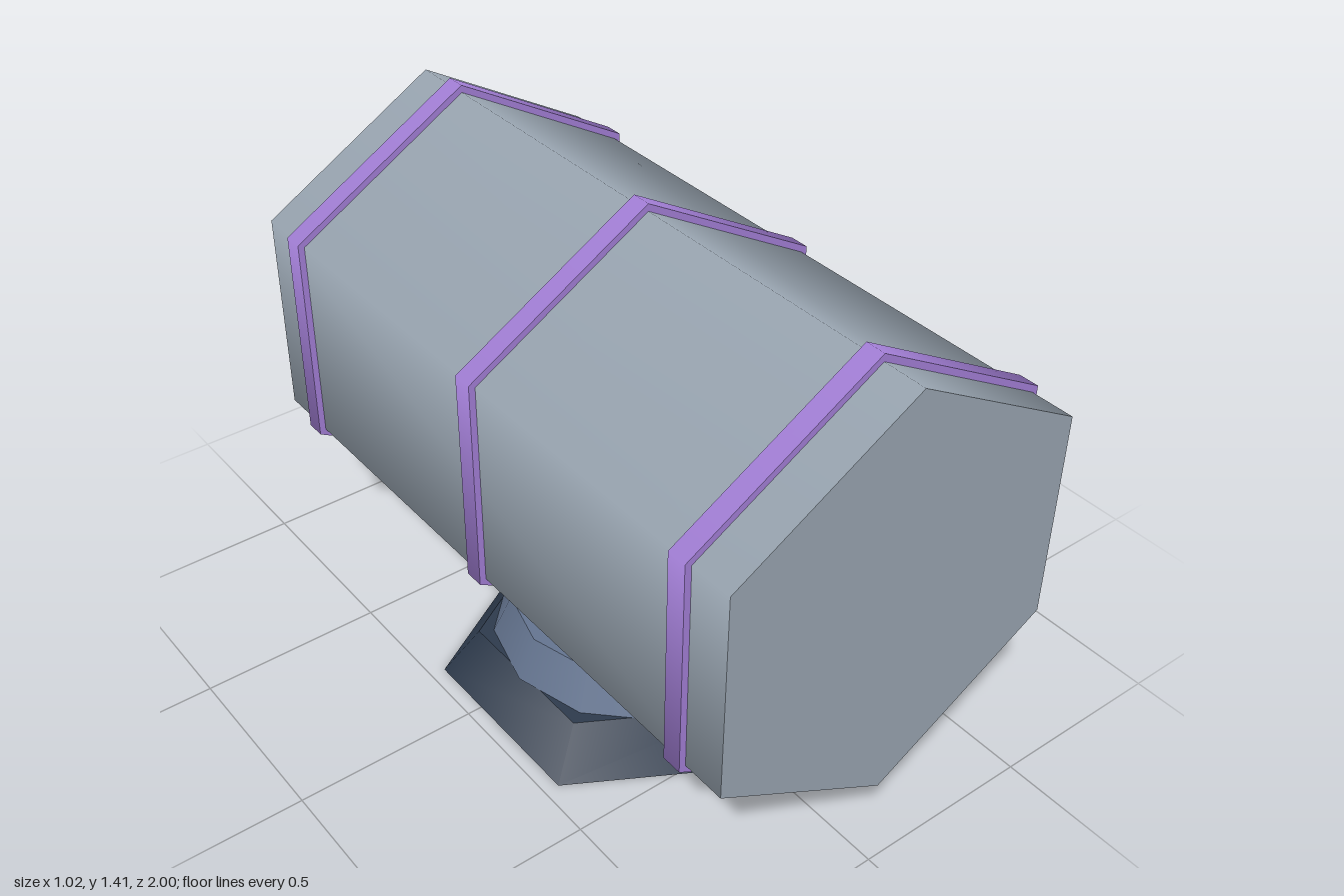
import * as THREE from 'three';

const material = (color) => new THREE.MeshStandardMaterial({ color });

export function createModel() {
  const model = new THREE.Group();
  const shell = material(0x9aa6b2), trim = material(0xa480d8);
  const dark = material(0x2d3a4c), mid = material(0x64748f);
  const axisY = 0.827, baseZ = 0.085;

  // Six-sided piece lying along z, with a corner pointing up
  function hexAlongZ(name, rFront, rBack, zFront, zBack, mat) {
    const geo = new THREE.CylinderGeometry(rFront, rBack, zFront - zBack, 6);
    geo.rotateX(Math.PI / 2);
    const mesh = new THREE.Mesh(geo, mat);
    mesh.name = name;
    mesh.position.set(0, axisY, (zFront + zBack) / 2);
    model.add(mesh);
  }

  // Upright tapered tier of the stand
  function tier(name, rTop, rBottom, yBottom, yTop, sides, mat) {
    const mesh = new THREE.Mesh(new THREE.CylinderGeometry(rTop, rBottom, yTop - yBottom, sides), mat);
    mesh.name = name;
    mesh.position.set(0, (yBottom + yTop) / 2, baseZ);
    model.add(mesh);
  }

  // Main body and tapered rear cap
  hexAlongZ('body', 0.567, 0.567, 1, -0.835, shell);
  hexAlongZ('rearCap', 0.508, 0.393, -0.835, -1, dark);

  // Raised bands around the body
  [0.855, 0.085, -0.69].forEach((z, i) =>
    hexAlongZ(`band${i + 1}`, 0.587, 0.587, z + 0.027, z - 0.027, trim));

  // Two-step stand
  tier('standFoot', 0.43, 0.53, 0, 0.129, 6, dark);
  tier('standCollar', 0.34, 0.39, 0.129, 0.24, 12, mid);

  return model;
}
